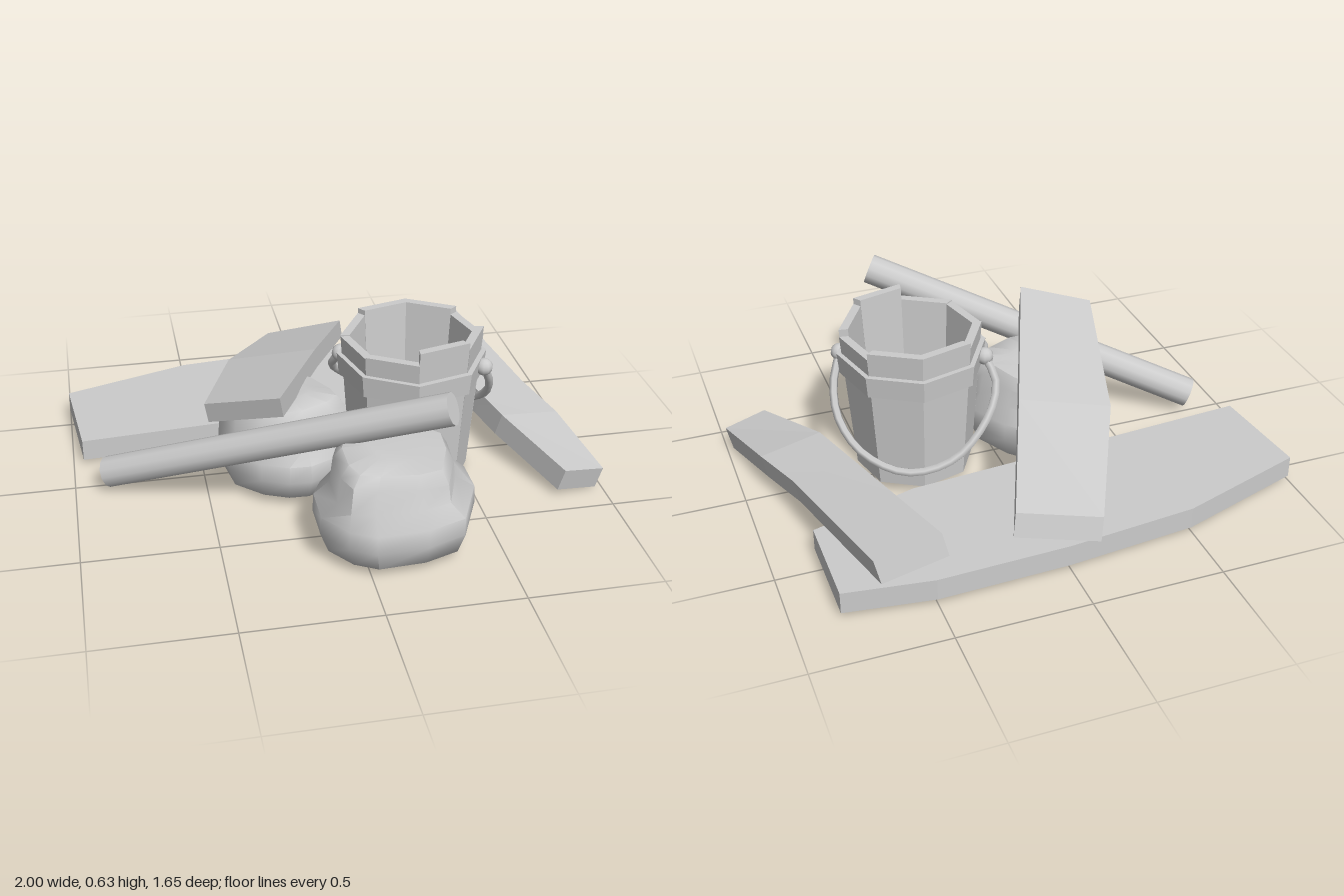
import * as THREE from 'three';
import { toCreasedNormals } from 'three/addons/utils/BufferGeometryUtils.js';

const material = new THREE.MeshStandardMaterial({ color: 0xcccccc });

function add(parent, name, geometry) {
  const mesh = new THREE.Mesh(geometry, material);
  mesh.name = name;
  parent.add(mesh);
  return mesh;
}

// Closed solid through equal-sized rings of [x, y, z] points, capped at both ends
function loft(rings, crease) {
  const n = rings[0].length;
  const pts = rings.flat();
  const tris = [];
  for (let r = 0; r < rings.length - 1; r++) {
    for (let i = 0; i < n; i++) {
      const a = r * n + i, b = r * n + (i + 1) % n;
      tris.push([a, b, b + n], [a, b + n, a + n]);
    }
  }
  const last = (rings.length - 1) * n;
  for (let i = 1; i < n - 1; i++) {
    tris.push([0, i + 1, i], [last, last + i, last + i + 1]);
  }
  // Signed volume tells whether the faces point outward
  const v = pts.map(p => new THREE.Vector3(...p));
  const volume = tris.reduce((s, [a, b, c]) => s + v[a].clone().sub(v[0])
    .dot(v[b].clone().sub(v[0]).cross(v[c].clone().sub(v[0]))), 0);
  if (volume < 0) tris.forEach(t => t.reverse());
  const geometry = new THREE.BufferGeometry();
  geometry.setAttribute('position', new THREE.Float32BufferAttribute(pts.flat(), 3));
  geometry.setIndex(tris.flat());
  return toCreasedNormals(geometry, crease);
}

// Board from pairs of top edge points, with a shared offset to the underside
function plank(rows, offset) {
  const under = p => p.map((c, i) => c + offset[i]);
  return loft(rows.map(([l, r]) => [l, r, under(r), under(l)]), 0.05);
}

// Lumpy boulder with a broad base and a stepped, smaller top
function rock() {
  const lower = [[-0.3, -0.05], [-0.3, 0.11], [-0.22, 0.22], [-0.13, 0.27], [0.06, 0.26], [0.2, 0.21],
    [0.29, 0.01], [0.29, -0.13], [0.13, -0.23], [-0.02, -0.27], [-0.17, -0.21], [-0.26, -0.13]];
  const upper = [[-0.23, -0.03], [-0.23, 0.11], [-0.2, 0.19], [-0.12, 0.21], [0.04, 0.21], [0.14, 0.18],
    [0.2, 0.02], [0.21, -0.11], [0.11, -0.2], [-0.02, -0.23], [-0.13, -0.18], [-0.2, -0.11]];
  const ring = (outline, s, y, tilt = 0) => outline.map(([x, z]) => [x * s, y - tilt * x, z * s]);
  return loft([
    ring(lower, 0.72, 0.01), ring(lower, 0.9, 0.04), ring(lower, 1, 0.12), ring(lower, 0.99, 0.19),
    ring(upper, 1.05, 0.25), ring(upper, 1, 0.33, 0.08), ring(upper, 0.86, 0.375, 0.05),
    ring(upper, 0.45, 0.385, 0.04),
  ], 0.8);
}

// Eight-sided stave bucket with uneven rim, hoop, and a hanging handle
function bucket() {
  const group = new THREE.Group();
  group.name = 'bucket';
  const center = [0.305, 0.07];
  const start = -8 * Math.PI / 180, step = Math.PI / 4;
  const point = (r, y, i) => [
    center[0] + r * Math.sin(start + i * step), y, center[1] + r * Math.cos(start + i * step)];
  const tops = [0.63, 0.605, 0.575, 0.6, 0.6, 0.58, 0.575, 0.58];
  const prism = (i, y0, y1, out0, out1, in0, in1) => loft([[y0, out0, in0], [y1, out1, in1]].map(
    ([y, o, n]) => [point(o, y, i), point(o, y, i + 1), point(n, y, i + 1), point(n, y, i)]), 0.05);
  tops.forEach((top, i) => {
    add(group, 'stave', prism(i, 0.01, top, 0.23, 0.272, 0.2, 0.237));
    add(group, 'hoop', prism(i, 0.42, 0.505, 0.278, 0.286, 0.25, 0.25));
  });
  const octagon = (r, y) => tops.map((_, i) => point(r, y, i));
  add(group, 'bucketFloor', loft([octagon(0.215, 0.025), octagon(0.215, 0.06)], 0.05));

  // Handle hangs behind the bucket between two knobs
  const path = [[0.56, 0.47, 0.18], [0.605, 0.37, 0.12], [0.615, 0.27, 0.03], [0.56, 0.18, -0.1],
    [0.42, 0.13, -0.21], [0.25, 0.17, -0.245], [0.1, 0.29, -0.2], [0.03, 0.39, -0.11],
    [0.05, 0.47, -0.04]].map(p => new THREE.Vector3(...p));
  add(group, 'handle', new THREE.TubeGeometry(new THREE.CatmullRomCurve3(path), 24, 0.016, 6));
  for (const p of [path[0], path[path.length - 1]]) {
    add(group, 'handleKnob', new THREE.SphereGeometry(0.034, 10, 8)).position.copy(p);
  }
  return group;
}

export function createModel() {
  const model = new THREE.Group();
  model.name = 'bucketAndDebris';

  // Wide board flat on the ground at the back
  const groundTop = 0.105;
  const outline = [[-1, -0.585, -0.96, -0.175], [-0.5, -0.75, -0.45, -0.214], [0, -0.8, 0, -0.248],
    [0.5, -0.815, 0.42, -0.28], [0.83, -0.77, 0.83, -0.4]];
  add(model, 'groundPlank', plank(
    outline.map(([a, b, c, d]) => [[a, groundTop, b], [c, groundTop, d]]), [0, -0.085, 0]));

  // Board propped up on the rock
  add(model, 'raisedPlank', plank([
    [[-0.12, 0.2, -0.8], [0.19, 0.26, -0.745]],
    [[-0.35, 0.33, -0.33], [-0.01, 0.385, -0.25]],
    [[-0.51, 0.46, 0.25], [-0.25, 0.515, 0.36]],
  ], [0.015, -0.088, -0.02]));

  // Board sloping down to the ground at the side
  add(model, 'slopingPlank', plank([
    [[0.47, 0.275, -0.785], [0.72, 0.25, -0.82]],
    [[0.61, 0.215, -0.2], [0.85, 0.185, -0.19]],
    [[0.68, 0.19, 0.08], [0.92, 0.16, 0.04]],
    [[0.83, 0.12, 0.42], [0.995, 0.092, 0.385]],
  ], [-0.02, -0.09, -0.015]));

  // Round pole leaning over the rocks
  const low = new THREE.Vector3(-0.87, 0.075, 0.02), high = new THREE.Vector3(0.31, 0.565, 0.635);
  const along = high.clone().sub(low);
  const pole = add(model, 'pole', new THREE.CylinderGeometry(0.06, 0.06, along.length(), 12));
  pole.position.copy(low).add(high).multiplyScalar(0.5);
  pole.quaternion.setFromUnitVectors(new THREE.Vector3(0, 1, 0), along.normalize());

  // Two boulders
  add(model, 'frontRock', rock()).position.set(0.14, 0, 0.55);
  const rear = add(model, 'rearRock', rock());
  rear.position.set(-0.2, 0, 0.04);
  rear.rotation.y = 2;
  rear.scale.set(0.92, 0.97, 0.92);

  model.add(bucket());
  return model;
}
